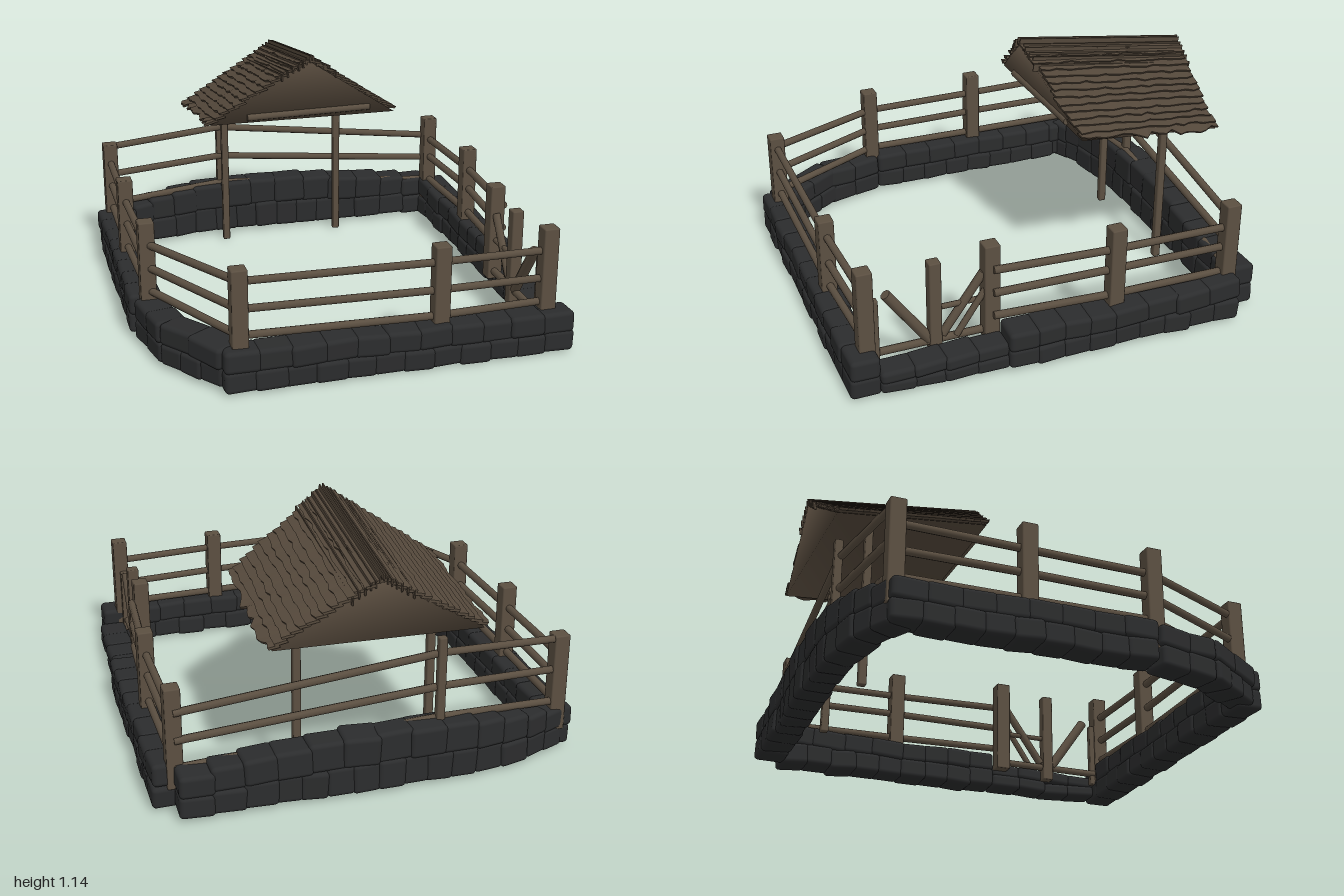
import * as THREE from 'three';
import { RoundedBoxGeometry } from 'three/addons/geometries/RoundedBoxGeometry.js';

const V = (x, y, z) => new THREE.Vector3(x, y, z);

export function createModel() {
  const model = new THREE.Group();
  const wood = new THREE.MeshStandardMaterial({ color: 0x5b4f41 });
  const thatch = new THREE.MeshStandardMaterial({ color: 0x53473a });
  const stone = new THREE.MeshStandardMaterial({ color: 0x2b2c2d });
  wood.name = 'weathered wood';
  thatch.name = 'roof planks';
  stone.name = 'dark stone';

  let seed = 7;
  const rand = () => (seed = (seed * 16807) % 2147483647) / 2147483647;
  const jitter = (a) => (rand() - 0.5) * 2 * a;

  const group = (name) => {
    const g = new THREE.Group();
    g.name = name;
    model.add(g);
    return g;
  };
  const add = (parent, name, geometry, material) => {
    const m = new THREE.Mesh(geometry, material);
    m.name = name;
    parent.add(m);
    return m;
  };

  // Stone wall: rounded blocks in courses along a path of [x, z, top height]
  const walls = group('stoneWall');
  function wall(name, path, thick, bottom, courses = 2) {
    const g = new THREE.Group();
    g.name = name;
    walls.add(g);
    for (let c = 0; c < courses; c++) {
      for (let i = 0; i < path.length - 1; i++) {
        const [x0, z0, h0] = path[i], [x1, z1, h1] = path[i + 1];
        const len = Math.hypot(x1 - x0, z1 - z0);
        const n = Math.max(1, Math.round(len / (0.125 + c * 0.015)));
        for (let k = 0; k < n; k++) {
          const t = (k + 0.5) / n;
          const ch = (h0 + (h1 - h0) * t - bottom) / courses;
          const geo = new RoundedBoxGeometry(len / n * 1.14, ch * 1.1, thick + jitter(0.012), 2, 0.02);
          const b = add(g, 'stoneBlock', geo, stone);
          b.position.set(x0 + (x1 - x0) * t, bottom + ch * (c + 0.5) + jitter(0.004), z0 + (z1 - z0) * t);
          b.rotation.set(jitter(0.05), -Math.atan2(z1 - z0, x1 - x0) + jitter(0.05), jitter(0.05));
        }
      }
    }
  }
  wall('leftSideWall', [[-0.9, -0.84, 0.2], [-0.9, 0.3, 0.2]], 0.145, 0.02);
  wall('cornerWall', [[-0.89, 0.33, 0.2], [-0.83, 0.6, 0.2], [-0.64, 0.89, 0.2]], 0.135, 0.02);
  wall('frontWall', [[-0.67, 0.91, 0.19], [0.89, 0.91, 0.19]], 0.14, 0.01);
  wall('gateSill', [[0.86, 0.84, 0.12], [0.87, 0.28, 0.14]], 0.13, 0.015);
  wall('rightSideWall', [[0.885, 0.27, 0.19], [0.89, -0.22, 0.19], [0.89, -0.84, 0.21]], 0.145, 0.02);
  wall('backWall', [[0.86, -0.9, 0.2], [0.45, -0.9, 0.25], [0, -0.915, 0.28],
    [-0.45, -0.91, 0.27], [-0.7, -0.87, 0.23], [-0.9, -0.79, 0.2]], 0.14, 0.02);

  // Fence
  const fence = group('fence');
  function post(name, x, z, bottom, top, w = 0.072, turn = 0, parent = fence) {
    const p = add(parent, name, new RoundedBoxGeometry(w, top - bottom, w, 1, 0.006), wood);
    p.position.set(x, (top + bottom) / 2, z);
    p.rotation.y = turn;
  }
  function bar(name, a, b, r = 0.018, parent = fence) {
    const d = b.clone().sub(a);
    const m = add(parent, name, new THREE.CylinderGeometry(r, r, d.length(), 8), wood);
    m.position.copy(a).add(b).multiplyScalar(0.5);
    m.quaternion.setFromUnitVectors(V(0, 1, 0), d.normalize());
  }
  for (const [x, z, top] of [[-0.895, -0.82, 0.57], [-0.9, -0.25, 0.57], [-0.89, 0.33, 0.57], [-0.6, 0.9, 0.545],
    [0.29, 0.9, 0.55], [0.795, 0.88, 0.57], [0.785, 0.31, 0.57], [0.867, -0.25, 0.57], [0.862, -0.82, 0.57]]) {
    post('fencePost', x, z, 0.1, top);
  }
  // Three rails between neighbouring posts: [x, z, low, middle, high]
  const railRuns = [
    [[-0.895, -0.82, 0.23, 0.35, 0.47], [-0.9, -0.25, 0.23, 0.35, 0.46], [-0.89, 0.33, 0.24, 0.35, 0.46],
      [-0.6, 0.9, 0.24, 0.36, 0.485], [0.29, 0.9, 0.22, 0.34, 0.47], [0.795, 0.88, 0.22, 0.33, 0.46]],
    [[0.83, 0.31, 0.23, 0.345, 0.46], [0.867, -0.25, 0.23, 0.36, 0.46], [0.862, -0.82, 0.22, 0.35, 0.45]],
    [[0.862, -0.85, 0.2, 0.33, 0.46], [-0.3, -0.89, 0.28, 0.43, 0.59], [-0.895, -0.83, 0.24, 0.4, 0.55]],
  ];
  for (const run of railRuns) {
    for (let i = 0; i < run.length - 1; i++) {
      const [x0, z0, ...ya] = run[i], [x1, z1, ...yb] = run[i + 1];
      ya.forEach((y, k) => bar('fenceRail', V(x0, y, z0), V(x1, yb[k], z1)));
    }
  }

  // Gate with diagonal braces
  const gate = group('gate');
  post('gateMiddlePost', 0.78, 0.565, 0.07, 0.535, 0.055, 0, gate);
  post('gateEndStile', 0.785, 0.835, 0.08, 0.41, 0.035, 0, gate);
  bar('gateBottomRail', V(0.78, 0.14, 0.86), V(0.78, 0.14, 0.31), 0.018, gate);
  bar('gateMiddleRail', V(0.78, 0.3, 0.57), V(0.78, 0.3, 0.31), 0.013, gate);
  bar('gateBrace', V(0.78, 0.42, 0.78), V(0.78, 0.15, 0.59), 0.024, gate);
  bar('gateBrace', V(0.78, 0.43, 0.34), V(0.78, 0.16, 0.53), 0.02, gate);
  bar('gateBrace', V(0.795, 0.36, 0.33), V(0.795, 0.15, 0.47), 0.015, gate);

  // Shelter posts and tie beam
  const shelter = group('shelter');
  post('shelterPost', -0.3, -0.765, 0, 0.8, 0.036, 0, shelter);
  post('shelterPost', 0.31, -0.765, 0, 0.8, 0.036, 0, shelter);
  post('shelterBackPost', -0.3, -0.9, 0.1, 0.67, 0.038, 0, shelter);
  bar('tieBeam', V(-0.29, 0.825, -0.25), V(0.33, 0.835, -0.25), 0.018, shelter);

  // Roof body: a smooth wedge, lower at the back
  const ridge = [V(0, 1.11, -0.15), V(0, 0.995, -0.98)];
  const eave = (s) => [V(s * 0.465, 0.795, -0.265), V(s * 0.465, s > 0 ? 0.735 : 0.715, -0.955)];
  const corners = [ridge[0], eave(1)[0], eave(-1)[0], ridge[1], eave(1)[1], eave(-1)[1]];
  const body = new THREE.BufferGeometry().setFromPoints(corners);
  body.setIndex([0, 2, 1, 3, 4, 5, 0, 1, 4, 0, 4, 3, 0, 5, 2, 0, 3, 5, 1, 2, 5, 1, 5, 4]);
  body.computeVertexNormals();
  add(shelter, 'roofBody', body, thatch);

  // Overlapping planks run along the ridge, bent onto each slope; the last has a ragged edge
  const rows = 14;
  for (const s of [1, -1]) {
    const e = eave(s);
    const up = V(s * 0.56, 0.82, 0.1).normalize();
    for (let i = 0; i < rows; i++) {
      const geo = new THREE.BoxGeometry(1, 1, 1, 20, 1, 1);
      const pos = geo.attributes.position;
      const front = jitter(0.012), back = jitter(0.008);
      const waves = Array.from({ length: 21 }, () => jitter(i === rows - 1 ? 0.035 : 0.012));
      for (let k = 0; k < pos.count; k++) {
        const step = Math.round((pos.getX(k) + 0.5) * 20);
        let u = step / 20;
        if (s < 0) u = 1 - u;
        const low = pos.getZ(k) > 0;
        const v = low ? (i + 1.3) / rows + waves[step] : i / rows;
        const p = ridge[0].clone().lerp(ridge[1], u).lerp(e[0].clone().lerp(e[1], u), v);
        p.z += front * (1 - u) - back * u;
        p.addScaledVector(up, (low ? 0.016 : 0) + (pos.getY(k) > 0 ? 0.01 : -0.002));
        pos.setXYZ(k, p.x, p.y, p.z);
      }
      const flat = geo.toNonIndexed();
      flat.computeVertexNormals();
      add(shelter, 'roofPlank', flat, thatch);
    }
  }

  // Thin slats standing proud around the ridge
  for (let i = -6; i <= 6; i++) {
    const x = i * 0.015 * (1 + Math.abs(i) * 0.08);
    const y = 0.012 - Math.abs(x) * 0.68 + Math.abs(jitter(0.01));
    const a = ridge[0].clone().add(V(x, y, 0.01 - Math.abs(x) * 0.25 + jitter(0.012)));
    const b = ridge[1].clone().add(V(x, y, -0.005));
    const d = b.clone().sub(a);
    const slat = add(shelter, 'ridgeSlat', new THREE.BoxGeometry(0.006, 0.035, d.length()), thatch);
    slat.position.copy(a).add(b).multiplyScalar(0.5);
    slat.rotation.x = Math.atan2(d.y, -d.z);
  }
  return model;
}
